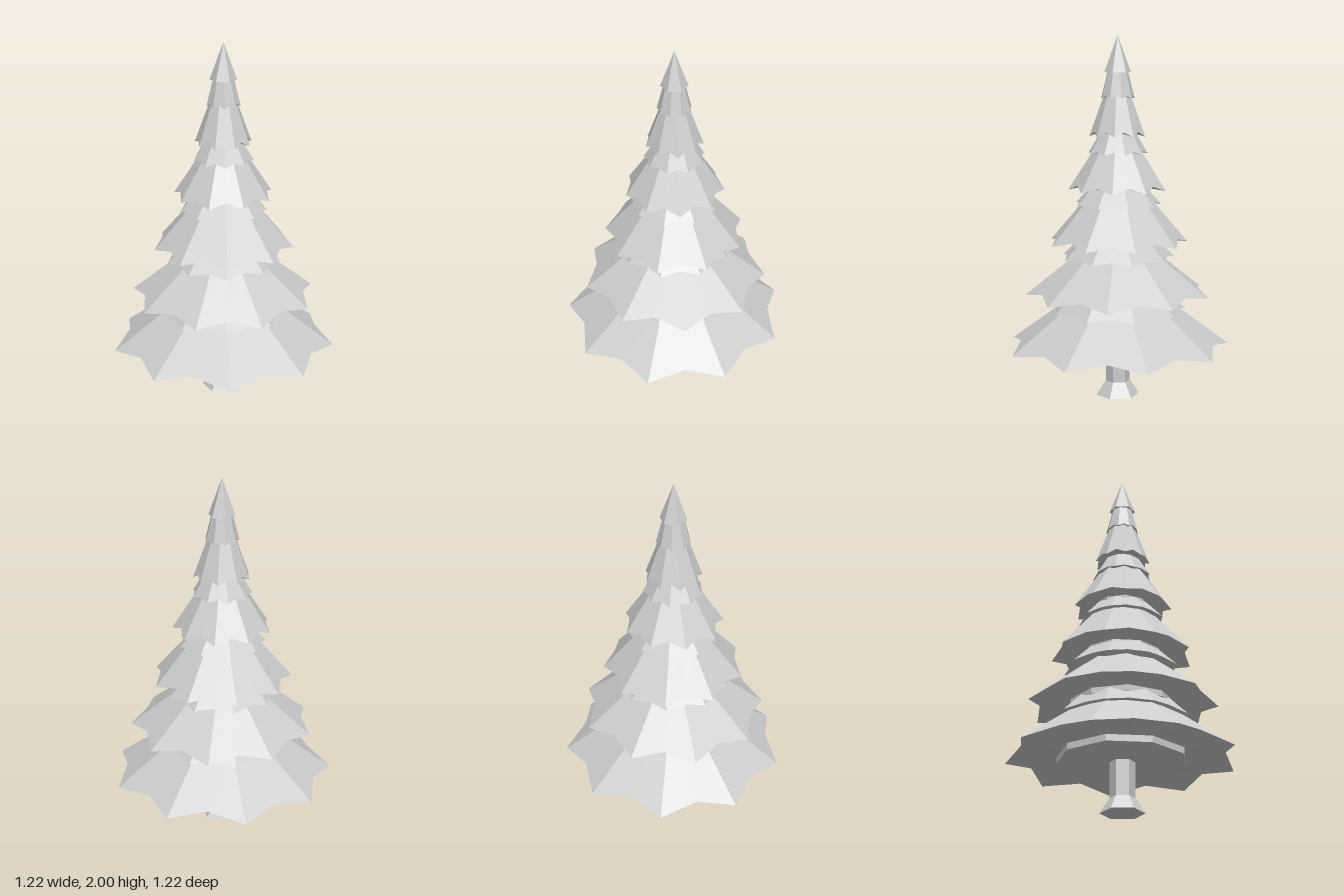
import * as THREE from 'three';

const SIDES = 9;
const CX = -0.01, CZ = 0.01; // trunk axis

// Skins a stack of equally long point rings, listed from the underside to the top.
function skin(rings) {
  const pos = [];
  for (let i = 0; i < rings.length - 1; i++) {
    const low = rings[i], high = rings[i + 1], n = low.length;
    for (let j = 0; j < n; j++) {
      const k = (j + 1) % n;
      pos.push(...low[j], ...high[j], ...low[k], ...low[k], ...high[j], ...high[k]);
    }
  }
  const geo = new THREE.BufferGeometry();
  geo.setAttribute('position', new THREE.Float32BufferAttribute(pos, 3));
  geo.computeVertexNormals();
  return geo;
}

// Nine-sided ring with extra points mid-side; lift raises those points along the slope.
function ring(radius, y, turn, lift = 0, run = 0) {
  const points = [];
  for (let j = 0; j < SIDES * 2; j++) {
    const a = THREE.MathUtils.degToRad(turn) + (j * Math.PI) / SIDES;
    const mid = j % 2;
    const r = mid ? (radius - lift * run) * Math.cos(Math.PI / SIDES) : radius;
    points.push([r * Math.sin(a), y + (mid ? lift : 0), -r * Math.cos(a)]);
  }
  return points;
}

// One skirt of branches: zigzag hem, sloping sides and a closed underside with a raised core.
function skirt({ r, y, topR, topY, lift, turn }) {
  const core = r * 0.56, run = (r - topR) / (topY - y);
  return skin([
    ring(0, y - 0.008, turn),
    ring(core, y - 0.008, turn),
    ring(core, y + lift * 0.8, turn),
    ring(r, y, turn, lift, run),
    ring(topR, topY, turn),
    ring(0, topY, turn),
  ]);
}

export function createModel() {
  const tree = new THREE.Group();
  tree.name = 'coniferTree';
  const grey = new THREE.MeshStandardMaterial({ color: 0xcccccc });
  grey.name = 'plainGrey';
  grey.flatShading = true;

  const add = (name, geo, y = 0) => {
    const mesh = new THREE.Mesh(geo, grey);
    mesh.name = name;
    mesh.position.set(CX, y, CZ);
    tree.add(mesh);
  };

  // Trunk with flared foot
  add('trunkFoot', new THREE.CylinderGeometry(0.068, 0.12, 0.08, 6), 0.04);
  add('trunk', new THREE.CylinderGeometry(0.068, 0.068, 0.22, 6, 1, true), 0.19);

  // Wide branch skirts
  const wide = [
    { r: 0.622, y: 0.283, topR: 0.29, topY: 0.53, lift: 0.034, turn: 4 },
    { r: 0.513, y: 0.577, topR: 0.22, topY: 0.81, lift: 0.03, turn: 24 },
    { r: 0.388, y: 0.868, topR: 0.18, topY: 1.11, lift: 0.03, turn: 4 },
    { r: 0.272, y: 1.162, topR: 0.125, topY: 1.39, lift: 0.03, turn: 24 },
    { r: 0.155, y: 1.455, topR: 0.07, topY: 1.69, lift: 0.028, turn: 24 },
  ];
  wide.forEach((s, i) => add(`wideSkirt${i + 1}`, skirt(s)));

  // Smaller skirts between them
  const narrow = [
    { r: 0.375, y: 0.49, topR: 0.27, topY: 0.595, turn: 4 },
    { r: 0.315, y: 0.785, topR: 0.215, topY: 0.885, turn: 4 },
    { r: 0.24, y: 1.08, topR: 0.15, topY: 1.18, turn: 4 },
    { r: 0.165, y: 1.36, topR: 0.1, topY: 1.47, turn: 4 },
    { r: 0.093, y: 1.66, topR: 0.055, topY: 1.81, turn: 4 },
  ];
  narrow.forEach((s, i) => add(`narrowSkirt${i + 1}`, skirt({ ...s, lift: 0.016 })));

  // Pointed top
  add('treeTop', new THREE.ConeGeometry(0.073, 0.2, 6), 1.9);

  return tree;
}
